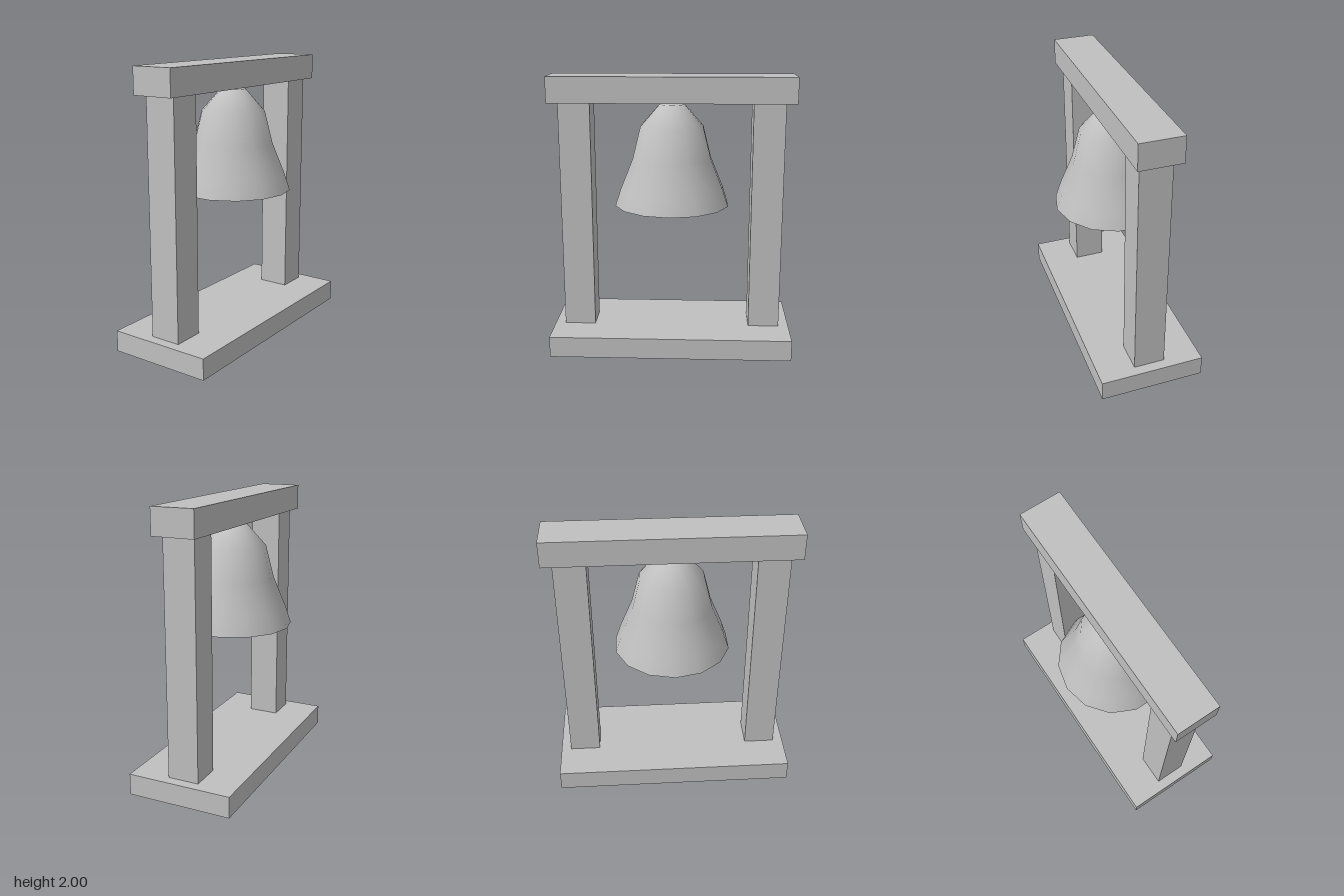
import * as THREE from 'three';

export function createModel() {
  const model = new THREE.Group();
  model.name = 'bellStand';

  const stone = new THREE.MeshStandardMaterial({ color: 0xc0c0c0, side: THREE.DoubleSide });
  stone.name = 'paleGrey';

  // Box given by its size, centre x and bottom height
  function block(name, width, height, depth, x, bottom) {
    const mesh = new THREE.Mesh(new THREE.BoxGeometry(width, height, depth), stone);
    mesh.name = name;
    mesh.position.set(x, bottom + height / 2, 0);
    model.add(mesh);
  }

  // Frame: base slab, crossbeam and two posts
  block('base', 1.75, 0.153, 0.762, 0, 0);
  block('crossbeam', 1.75, 0.185, 0.304, 0, 1.815);
  for (const side of [1, -1]) {
    block(side > 0 ? 'leftPost' : 'rightPost', 0.226, 1.662, 0.226, side * 0.688, 0.153);
  }

  // Bell: open, thin-walled shell with fourteen sides and a flat crown
  const profile = [
    [0.418, 1.07], [0.378, 1.19], [0.288, 1.41], [0.23, 1.64], [0.09, 1.797], [0, 1.797],
  ].map(([r, y]) => new THREE.Vector2(r, y));
  const bell = new THREE.Mesh(new THREE.LatheGeometry(profile, 14), stone);
  bell.name = 'bell';
  model.add(bell);

  return model;
}
